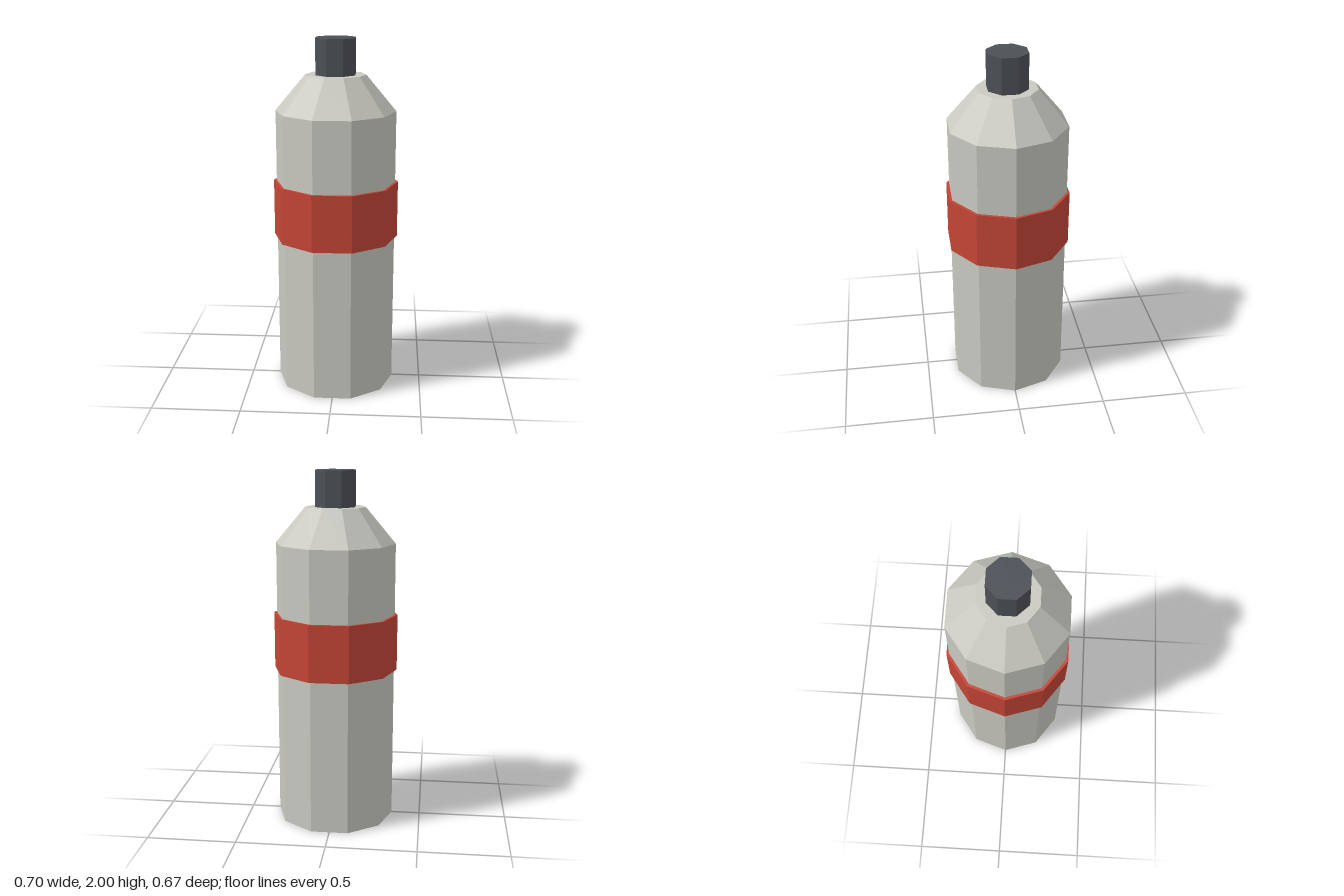
import * as THREE from 'three';

const flat = (name, color) => {
  const m = new THREE.MeshStandardMaterial({ color, flatShading: true });
  m.name = name;
  return m;
};

export function createModel() {
  const group = new THREE.Group();
  group.name = 'bottle';
  const shell = flat('pale grey', 0xc9c9c1);
  const red = flat('red', 0xc44536);
  const dark = flat('dark grey', 0x4c5056);

  // Upright faceted section between two heights
  const section = (name, material, rBottom, rTop, y0, y1, sides, turn, open = false) => {
    const geo = new THREE.CylinderGeometry(rTop, rBottom, y1 - y0, sides, 1, open, turn);
    const mesh = new THREE.Mesh(geo, material);
    mesh.name = name;
    mesh.position.y = (y0 + y1) / 2;
    group.add(mesh);
  };

  // Ten-sided body: corners point along x. Lathe keeps wall, base and shoulder one closed skin
  const profile = [[0, 0], [0.336, 0], [0.336, 1.6], [0.168, 1.8], [0, 1.8]]
    .map(([r, y]) => new THREE.Vector2(r, y));
  const body = new THREE.Mesh(new THREE.LatheGeometry(profile, 10, Math.PI / 2), shell);
  body.name = 'body';
  group.add(body);

  // Raised band around the body
  section('band', red, 0.352, 0.352, 0.88, 1.2, 10, Math.PI / 2);

  // Eight-sided cap: flats face the axes
  section('cap', dark, 0.117, 0.117, 1.8, 2, 8, Math.PI / 8);

  return group;
}
